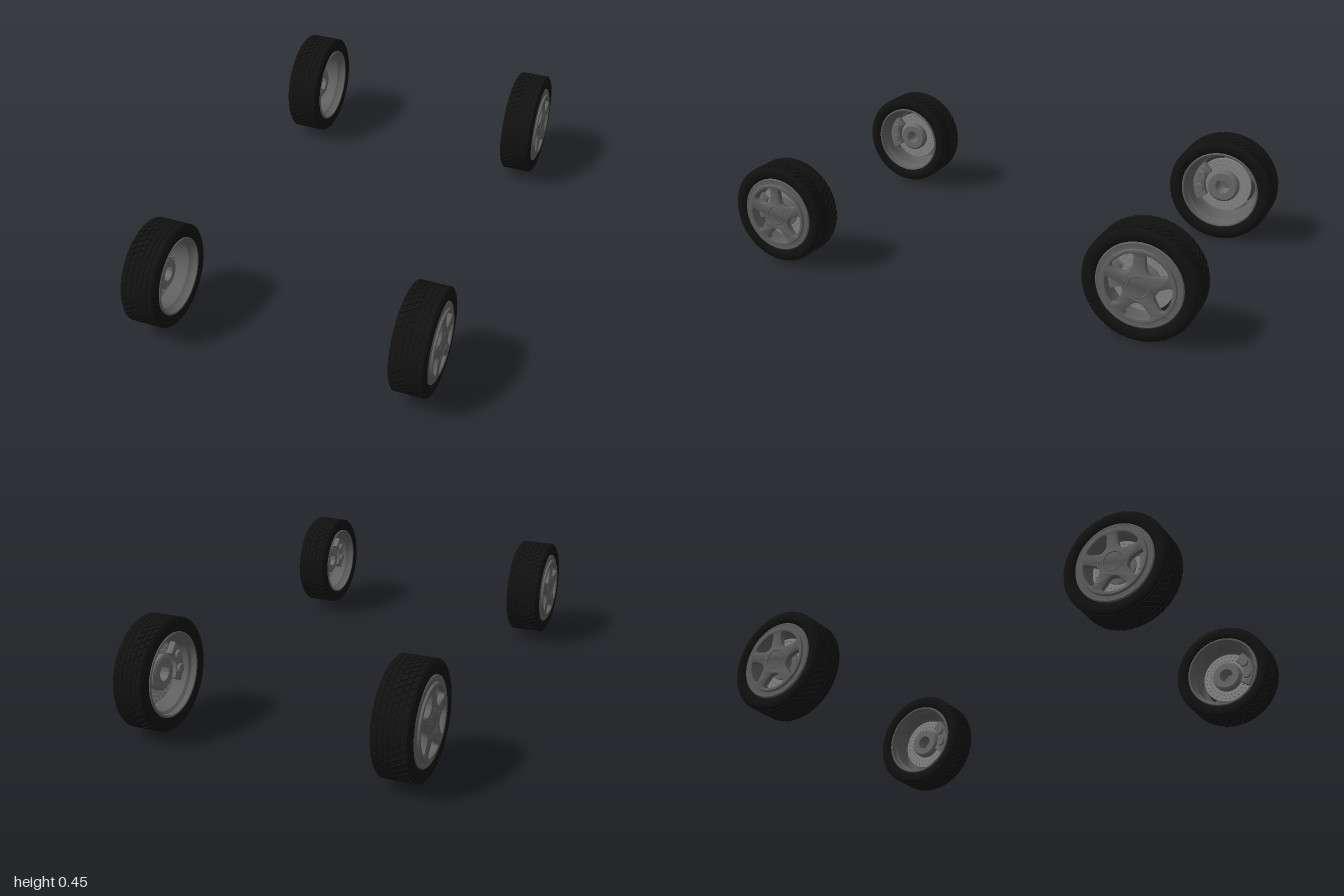
import * as THREE from 'three';
import { mergeGeometries, toCreasedNormals } from 'three/addons/utils/BufferGeometryUtils.js';

const V = (x, y) => new THREE.Vector2(x, y);
const paint = (color) => new THREE.MeshStandardMaterial({ color });
const rubber = paint(0x121212);
const alloy = paint(0x626262);
const steel = paint(0x8a8a8a);
const iron = paint(0x6c6c6c);

function part(name, geometry, material) {
  const mesh = new THREE.Mesh(geometry, material);
  mesh.name = name;
  return mesh;
}

// Closed profile of [radius, axial] pairs turned about the x axis
function turned(points, segments = 64) {
  const pts = points.map(([r, a]) => V(r, a));
  pts.push(pts[0].clone());
  const g = new THREE.LatheGeometry(pts, segments);
  g.rotateZ(-Math.PI / 2);
  return toCreasedNormals(g, 0.6);
}

// Flat outline extruded along x, from x0 to x0 + depth
function slab(shape, x0, depth, bevel = 0) {
  const g = new THREE.ExtrudeGeometry(shape, {
    depth: depth - 2 * bevel, curveSegments: 24, bevelEnabled: bevel > 0,
    bevelSize: bevel, bevelThickness: bevel, bevelOffset: -bevel, bevelSegments: 2,
  });
  g.rotateY(Math.PI / 2);
  g.translate(x0 + bevel, 0, 0);
  return toCreasedNormals(g, 0.6);
}

const polar = (r, a) => [r * Math.cos(a), r * Math.sin(a)];

// Chevron tread blocks in six columns
function treadBlocks(R, h, dir) {
  const count = 48, columns = 6, depth = 0.007;
  const pitch = (2 * Math.PI * R) / count, colWidth = (1.72 * h) / columns;
  const blocks = [];
  for (let c = 0; c < columns; c++) {
    const x0 = (c - (columns - 1) / 2) * colWidth;
    for (let i = 0; i < count; i++) {
      const g = new THREE.BoxGeometry(colWidth * 0.86, depth, pitch * 0.8);
      g.translate(x0, R - depth / 2, 0);
      const p = g.attributes.position;
      for (let v = 0; v < p.count; v++) {
        const slant = dir * 0.6 * (Math.abs(p.getX(v)) - Math.abs(x0));
        p.setZ(v, p.getZ(v) + slant);
      }
      g.computeVertexNormals();
      g.rotateX(((i + (c % 2) * 0.5) / count) * Math.PI * 2);
      blocks.push(g);
    }
  }
  return mergeGeometries(blocks);
}

// Five-spoke face: a disc with five rounded wedge windows
function spokeFace(R) {
  const s = new THREE.Shape().absarc(0, 0, 0.64 * R, 0, Math.PI * 2);
  const inner = 0.29 * R, outer = 0.57 * R;
  for (let i = 0; i < 5; i++) {
    const a = -Math.PI / 2 + (i * Math.PI * 2) / 5;
    const wo = 0.44, wi = 0.26, f = 0.09;
    const hole = new THREE.Path();
    hole.moveTo(...polar(outer, a - wo + f));
    hole.absarc(0, 0, outer, a - wo + f, a + wo - f, false);
    hole.quadraticCurveTo(...polar(outer, a + wo), ...polar(outer * 0.9, a + wo));
    hole.lineTo(...polar(inner * 1.12, a + wi));
    hole.quadraticCurveTo(...polar(inner * 0.93, a), ...polar(inner * 1.12, a - wi));
    hole.lineTo(...polar(outer * 0.9, a - wo));
    hole.quadraticCurveTo(...polar(outer, a - wo), ...polar(outer, a - wo + f));
    s.holes.push(hole);
  }
  return s;
}

// Brake disc with two staggered rows of drilled holes
function drilledDisc(R) {
  const s = new THREE.Shape().absarc(0, 0, 0.53 * R, 0, Math.PI * 2);
  s.holes.push(new THREE.Path().absarc(0, 0, 0.2 * R, 0, Math.PI * 2));
  [0.39, 0.47].forEach((row, k) => {
    for (let i = 0; i < 30; i++) {
      const [cx, cy] = polar(row * R, ((i + k * 0.5) * Math.PI * 2) / 30);
      const pts = [0, 1, 2, 3, 4, 5].map((j) => {
        const [x, y] = polar(0.014 * R, (j * Math.PI) / 3);
        return V(cx + x, cy + y);
      });
      s.holes.push(new THREE.Path(pts));
    }
  });
  return s;
}

function arcBand(r0, r1, a, half) {
  const s = new THREE.Shape();
  s.absarc(0, 0, r1, a - half, a + half, false);
  s.absarc(0, 0, r0, a + half, a - half, true);
  return s;
}

// One wheel; its outer face looks along +x, zSide is where the caliper sits
function makeWheel(R, width, zSide) {
  const wheel = new THREE.Group();
  const h = width / 2;
  const add = (name, g, m) => wheel.add(part(name, g, m));

  // Tyre carcass with rounded shoulders, and its tread
  const side = [[0.985, 0.86], [0.965, 0.93], [0.93, 0.98], [0.87, 1], [0.8, 0.98], [0.75, 0.88]];
  const ring = [
    ...side.slice().reverse().map(([r, a]) => [r * R, -a * h]),
    [R - 0.006, -0.8 * h], [R - 0.006, 0.8 * h],
    ...side.map(([r, a]) => [r * R, a * h]),
  ];
  add('tyre', turned(ring, 72), rubber);
  add('tread', treadBlocks(R, h, zSide), rubber);

  // Open rim barrel with lips at both edges
  add('rimBarrel', turned([
    [0.75 * R, -0.93 * h], [0.75 * R, 0.93 * h], [0.73 * R, 0.97 * h],
    [0.7 * R, 0.95 * h], [0.62 * R, 0.97 * h], [0.6 * R, 0.72 * h],
    [0.65 * R, 0.55 * h], [0.66 * R, -0.5 * h], [0.7 * R, -0.65 * h],
    [0.71 * R, -0.95 * h], [0.735 * R, -0.97 * h],
  ]), alloy);

  // Spokes, centre cap and wheel bolts
  const face = h + 0.007;
  add('spokes', slab(spokeFace(R), face - 0.024, 0.024, 0.004), alloy);
  add('centreCap', turned([
    [0.0001, face - 0.03], [0.2 * R, face - 0.03], [0.2 * R, face + 0.0005],
    [0.18 * R, face + 0.002], [0.165 * R, face - 0.001], [0.0001, face],
  ], 32), alloy);
  for (let i = 0; i < 5; i++) {
    const [z, y] = polar(0.245 * R, Math.PI / 2 + (i * Math.PI * 2) / 5);
    const bolt = new THREE.CylinderGeometry(0.022 * R, 0.022 * R, 0.006, 6);
    bolt.rotateZ(Math.PI / 2);
    bolt.translate(face - 0.002, y, z);
    add('wheelBolt', bolt, iron);
  }

  // Brake disc and hub
  add('brakeDisc', slab(drilledDisc(R), 0.1 * h, 0.012), steel);
  add('hub', turned([
    [0.14 * R, -0.3 * h], [0.27 * R, -0.3 * h], [0.31 * R, -0.2 * h],
    [0.31 * R, 0.35 * h], [0.22 * R, 0.4 * h], [0.22 * R, face - 0.02], [0.14 * R, face - 0.02],
  ], 40), iron);

  // Caliper straddling the front edge of the disc
  const a = zSide > 0 ? Math.PI - 0.12 : 0.12;
  add('caliperInner', slab(arcBand(0.36 * R, 0.58 * R, a, 0.72), -0.34 * h, 0.38 * h, 0.003), iron);
  add('caliperOuter', slab(arcBand(0.4 * R, 0.58 * R, a, 0.5), 0.1 * h + 0.014, 0.2 * h, 0.003), iron);
  add('caliperBridge', slab(arcBand(0.54 * R, 0.59 * R, a, 0.4), -0.2 * h, 0.6 * h), iron);
  for (const t of [-0.3, 0.3]) {
    const [x, y] = polar(0.46 * R, a + t);
    const piston = new THREE.CylinderGeometry(0.08 * R, 0.09 * R, 0.16 * h, 20);
    piston.rotateZ(Math.PI / 2);
    piston.translate(-0.4 * h, y, -x);
    add('caliperPiston', piston, iron);
  }
  return wheel;
}

export function createModel() {
  const model = new THREE.Group();
  model.name = 'wheelSet';
  // name, radius, width, x, z
  const layout = [
    ['frontLeftWheel', 0.207, 0.141, 0.531, 0.793],
    ['frontRightWheel', 0.207, 0.15, -0.531, 0.793],
    ['rearLeftWheel', 0.225, 0.139, 0.522, -0.775],
    ['rearRightWheel', 0.225, 0.152, -0.522, -0.775],
  ];
  for (const [name, radius, width, x, z] of layout) {
    const wheel = makeWheel(radius, width, Math.sign(x));
    wheel.name = name;
    wheel.position.set(x, 0.226, z);
    if (x < 0) wheel.rotation.y = Math.PI;
    model.add(wheel);
  }
  return model;
}
